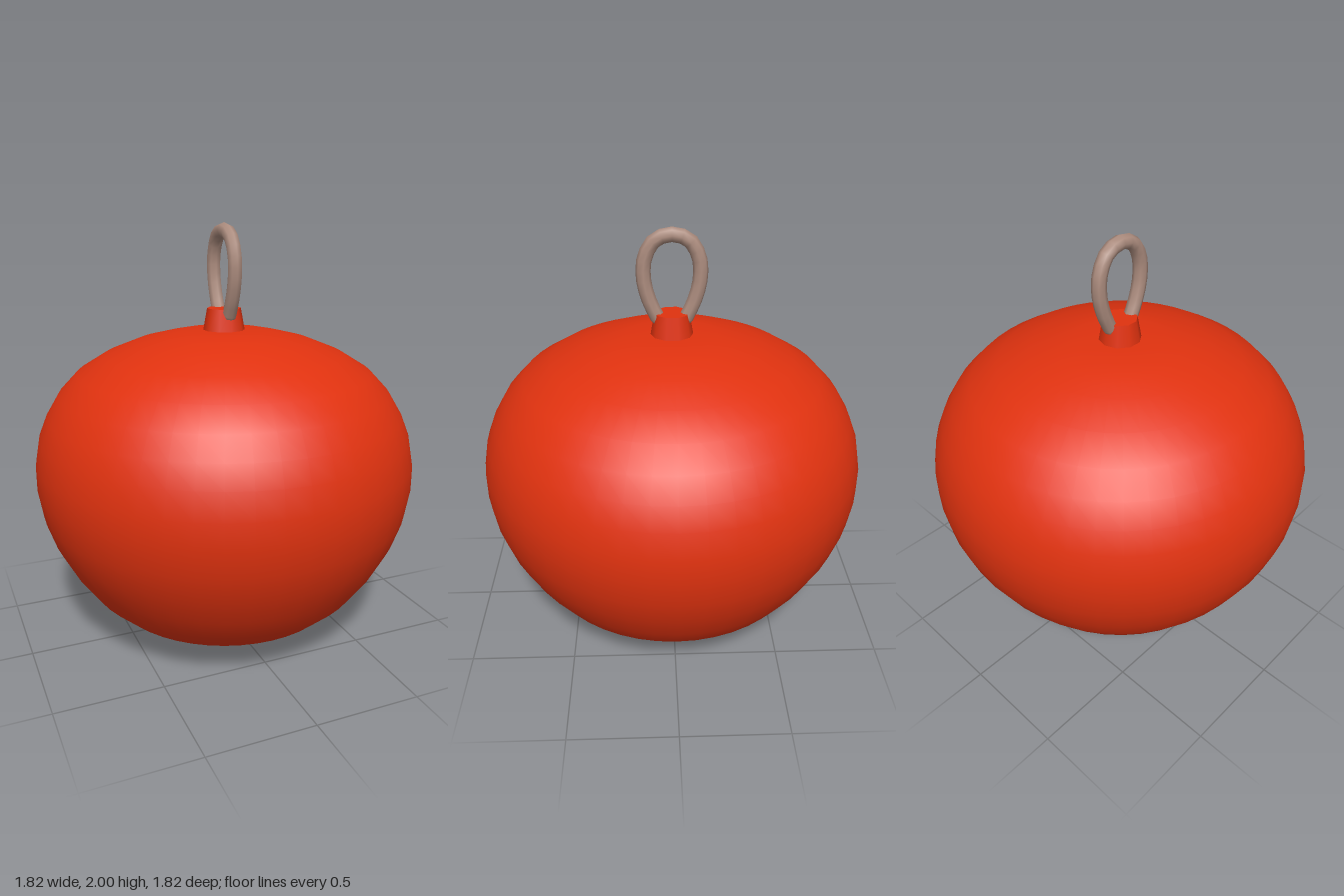
import * as THREE from 'three';

export function createModel() {
  const model = new THREE.Group();
  const red = new THREE.MeshStandardMaterial({ color: 0xe0320f });
  red.name = 'red';
  const metal = new THREE.MeshStandardMaterial({ color: 0xac8c7e });
  metal.name = 'ringMetal';
  const add = (name, geometry, material) => {
    const mesh = new THREE.Mesh(geometry, material);
    mesh.name = name;
    model.add(mesh);
    return mesh;
  };
  const lathe = (points, sides) =>
    new THREE.LatheGeometry(points.map(([r, y]) => new THREE.Vector2(r, y)), sides);

  // Squat round body with a small flat foot and a nearly flat crown
  add('body', lathe([
    [0.26, 0], [0.31, 0.025], [0.45, 0.085], [0.57, 0.155], [0.68, 0.255],
    [0.77, 0.38], [0.845, 0.52], [0.89, 0.65], [0.912, 0.78], [0.912, 0.9],
    [0.89, 1.02], [0.85, 1.12], [0.79, 1.22], [0.7, 1.315], [0.57, 1.395],
    [0.42, 1.455], [0.3, 1.485], [0.21, 1.503], [0.1, 1.508], [0, 1.508],
  ], 48), red);
  const foot = add('foot', new THREE.CircleGeometry(0.26, 48), red);
  foot.rotation.x = Math.PI / 2;

  // Tapered cap
  const cap = add('cap', new THREE.CylinderGeometry(0.08, 0.1, 0.11, 10), red);
  cap.position.y = 1.555;

  // Teardrop hanging loop, standing in the front-to-back plane
  const half = [[0.065, 1.585], [0.1, 1.66], [0.126, 1.76], [0.122, 1.86], [0.077, 1.94]];
  const path = [
    ...half.map(([z, y]) => new THREE.Vector3(0, y, z)),
    new THREE.Vector3(0, 1.966, 0),
    ...half.slice().reverse().map(([z, y]) => new THREE.Vector3(0, y, -z)),
  ];
  add('hangingLoop', new THREE.TubeGeometry(new THREE.CatmullRomCurve3(path), 20, 0.034, 8), metal);

  // Closed ends of the loop wire
  for (const side of [1, -1]) {
    const end = add('loopEnd', new THREE.SphereGeometry(0.034, 8, 6), metal);
    end.position.set(0, 1.585, side * 0.065);
  }
  return model;
}
